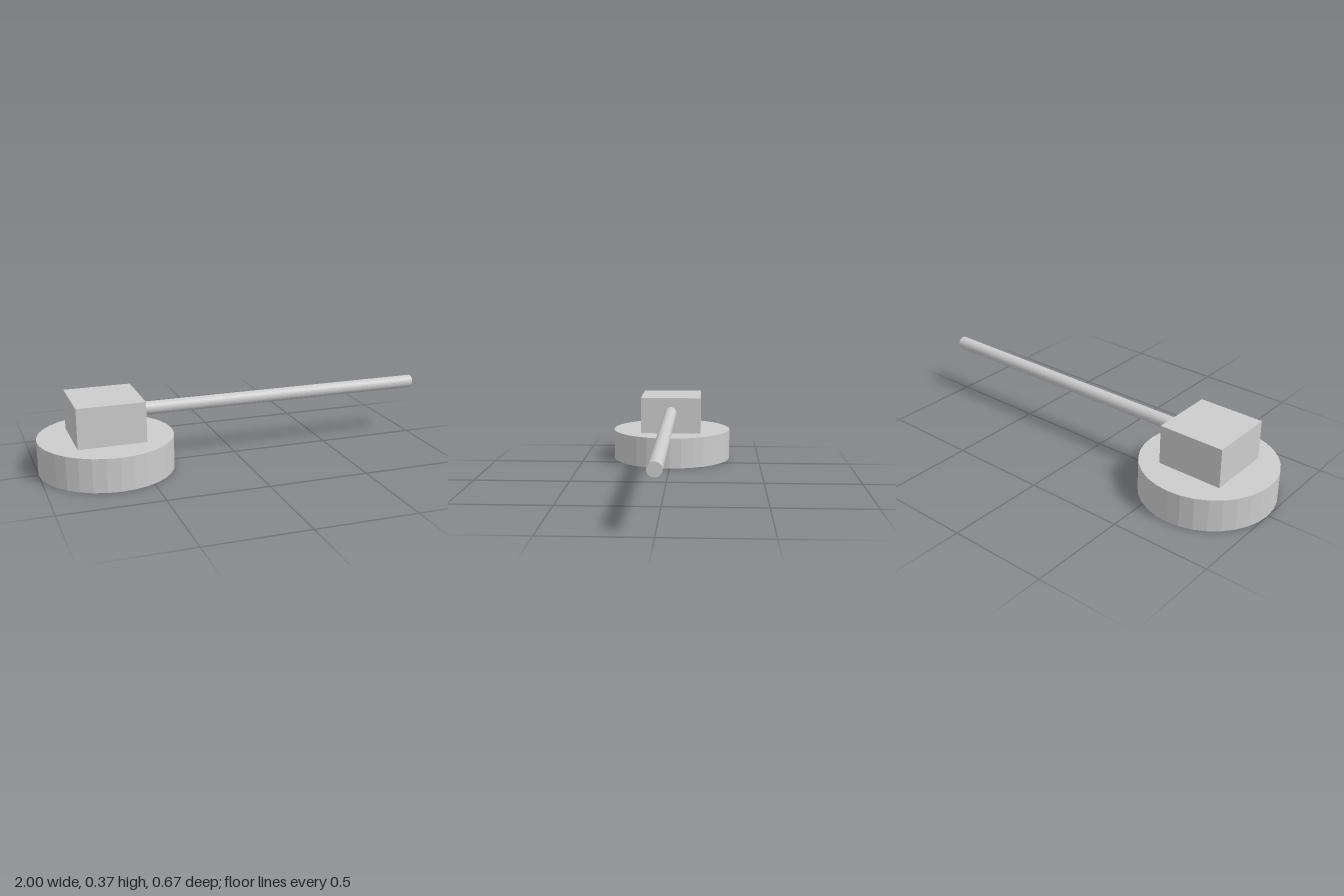
import * as THREE from 'three';

const U = 1 / 3; // base radius, the unit of all proportions
const SIDES = 32;

export function createModel() {
  const model = new THREE.Group();
  model.name = 'turret';
  const material = new THREE.MeshStandardMaterial({ color: 0xcccccc, flatShading: true });

  const add = (name, geometry, x, y) => {
    const mesh = new THREE.Mesh(geometry, material);
    mesh.name = name;
    mesh.position.set(x, y, 0);
    model.add(mesh);
    return mesh;
  };

  // Round base standing on the ground
  const baseHeight = U / 2;
  add('base', new THREE.CylinderGeometry(U, U, baseHeight, SIDES), -2 * U, baseHeight / 2);

  // Square housing on top of the base
  const housingHeight = 0.6 * U;
  add('housing', new THREE.BoxGeometry(U, housingHeight, U), -2 * U, baseHeight + housingHeight / 2);

  // Long barrel reaching out from the housing towards +x
  const barrelLength = 1.5;
  const barrel = add('barrel', new THREE.CylinderGeometry(U / 10, U / 10, barrelLength, SIDES), 0.25, 0.85 * U);
  barrel.rotation.z = -Math.PI / 2;

  return model;
}
